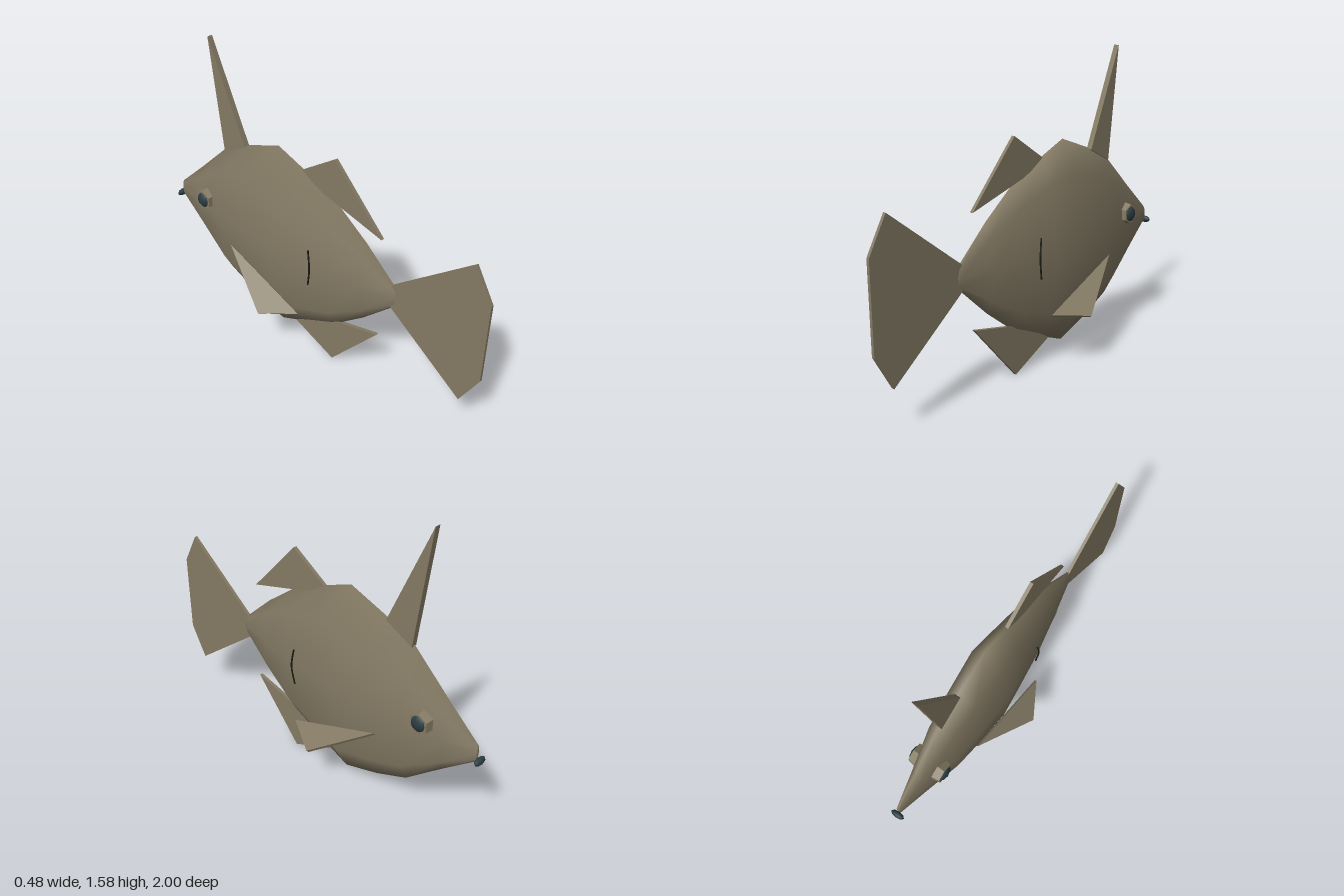
import * as THREE from 'three';

const skin = new THREE.MeshStandardMaterial({ name: 'olive skin', color: 0x857b65 });
const dark = new THREE.MeshStandardMaterial({ name: 'dark teal', color: 0x2b3d42 });
const black = new THREE.MeshStandardMaterial({ name: 'gill black', color: 0x1c1b16 });

const MID = 0.605; // height of the body axis

function add(parent, name, geometry, material) {
  const mesh = new THREE.Mesh(geometry, material);
  mesh.name = name;
  parent.add(mesh);
  return mesh;
}

// Flat fin in the middle plane, outlined by [z, y] points
function finPlate(points, thickness) {
  const shape = new THREE.Shape(points.map(([z, y]) => new THREE.Vector2(-z, y)));
  const g = new THREE.ExtrudeGeometry(shape, { depth: thickness, bevelEnabled: false });
  g.translate(0, 0, -thickness / 2);
  g.rotateY(Math.PI / 2);
  return g;
}

// Thin triangular slab lying in any plane
function triangleSlab(corners, thickness) {
  const [a, b, c] = corners.map((p) => new THREE.Vector3(...p));
  const u = b.clone().sub(a).normalize();
  const n = u.clone().cross(c.clone().sub(a)).normalize();
  const v = n.clone().cross(u);
  const flat = [a, b, c].map((p) => {
    const d = p.clone().sub(a);
    return new THREE.Vector2(d.dot(u), d.dot(v));
  });
  const g = new THREE.ExtrudeGeometry(new THREE.Shape(flat), { depth: thickness, bevelEnabled: false });
  g.translate(0, 0, -thickness / 2);
  g.applyMatrix4(new THREE.Matrix4().makeBasis(u, v, n).setPosition(a));
  return g;
}

export function createModel() {
  const fish = new THREE.Group();
  fish.name = 'fish';

  // Body: eight-sided lathe along z, flattened sideways
  const profile = [
    [0, -0.97], [0.045, -0.968], [0.195, -0.8], [0.38, -0.6], [0.465, -0.42], [0.535, -0.22],
    [0.468, -0.06], [0.375, 0.14], [0.225, 0.33], [0.06, 0.505], [0.03, 0.522], [0, 0.525],
  ].map(([r, z]) => new THREE.Vector2(r, z));
  const body = new THREE.LatheGeometry(profile, 8);
  body.rotateX(Math.PI / 2);
  body.scale(0.225, 1, 1);
  body.translate(0, MID, 0);
  add(fish, 'body', body, skin);

  // Fins in the middle plane
  add(fish, 'spine', finPlate([[-0.44, 1.055], [-0.59, 0.98], [-0.66, 1.575]], 0.03), skin);
  add(fish, 'dorsalFin', finPlate([[0.42, 0.89], [0.05, 1.0], [-0.06, 1.07], [0.14, 1.2]], 0.018), skin);
  add(fish, 'analFin', finPlate([[0.42, 0.325], [0.14, 0], [-0.11, 0.12], [0.1, 0.25]], 0.018), skin);
  add(fish, 'tailFin', finPlate([
    [0.49, 0.665], [0.905, 0.99], [1, 0.82], [1, 0.39], [0.905, 0.215], [0.49, 0.54],
  ], 0.016), skin);

  // Mouth
  const mouth = add(fish, 'mouth', new THREE.SphereGeometry(1, 8, 6), dark);
  mouth.scale.set(0.037, 0.019, 0.016);
  mouth.position.set(0, 0.57, -0.984);

  for (const s of [1, -1]) {
    const side = s > 0 ? 'left' : 'right';

    // Swept side fin
    const corners = [[s * 0.11, 0.495, -0.485], [s * 0.235, 0.275, -0.17], [s * 0.13, 0.305, 0.015]];
    add(fish, side + 'PectoralFin', triangleSlab(corners, 0.016), skin);

    // Eye: six-sided socket with a dark pupil
    const eye = new THREE.Group();
    eye.name = side + 'Eye';
    eye.position.set(s * 0.07, 0.67, -0.708);
    fish.add(eye);
    const socket = new THREE.CylinderGeometry(0.053, 0.06, 0.04, 6);
    socket.rotateY(Math.PI / 2);
    socket.rotateZ(-s * Math.PI / 2);
    const rim = add(eye, side + 'EyeSocket', socket.toNonIndexed(), skin);
    rim.geometry.computeVertexNormals();
    const ball = new THREE.SphereGeometry(0.043, 8, 6);
    ball.scale(0.55, 1, 1);
    add(eye, side + 'Pupil', ball, dark).position.x = s * 0.013;

    // Gill slit: thin curved line on the flank
    const slit = new THREE.CatmullRomCurve3([
      new THREE.Vector3(s * 0.1, 0.71, 0.055),
      new THREE.Vector3(s * 0.106, 0.605, 0.068),
      new THREE.Vector3(s * 0.1, 0.5, 0.053),
    ]);
    add(fish, side + 'GillSlit', new THREE.TubeGeometry(slit, 10, 0.0045, 5), black);
  }
  return fish;
}
